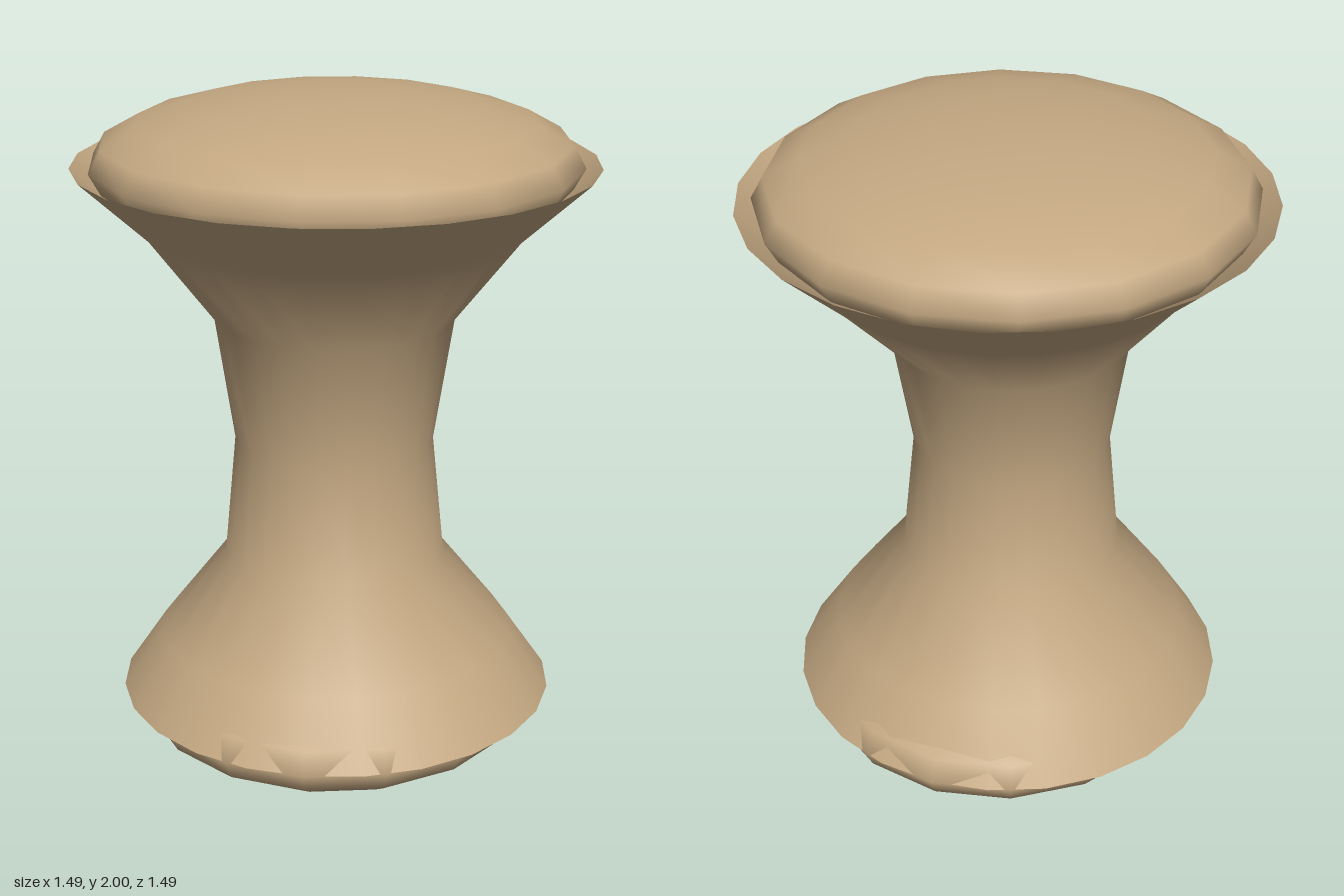
import * as THREE from 'three';

const material = new THREE.MeshStandardMaterial({ color: 0xc4a882, side: THREE.DoubleSide });

// Domed pad: a flattened sphere with 16 sides
function pad(name, rx, rz, y) {
  const mesh = new THREE.Mesh(new THREE.SphereGeometry(1, 16, 10), material);
  mesh.name = name;
  mesh.scale.set(rx, 0.2, rz);
  mesh.position.y = y;
  return mesh;
}

// Waisted stem, open at both ends; the narrow rings sit slightly forward
function waistedBody() {
  // height, radius, depth factor, forward shift
  const rings = [
    [0.2, 0.645, 1, 0],
    [0.38, 0.525, 1, 0.01],
    [0.64, 0.325, 1, 0.028],
    [1.0, 0.29, 1, 0.035],
    [1.36, 0.346, 1, 0.028],
    [1.62, 0.553, 1.02, 0],
    [1.797, 0.747, 1, 0],
  ];
  const geometry = new THREE.LatheGeometry(rings.map(([y, r]) => new THREE.Vector2(r, y)), 24);
  const pos = geometry.attributes.position;
  for (let i = 0; i < pos.count; i++) {
    const [, , depth, shift] = rings[i % rings.length];
    pos.setZ(i, pos.getZ(i) * depth + shift);
  }
  const mesh = new THREE.Mesh(geometry, material);
  mesh.name = 'waistedBody';
  return mesh;
}

export function createModel() {
  const group = new THREE.Group();
  group.name = 'stool';
  group.add(
    waistedBody(),
    pad('seatCushion', 0.7, 0.7, 1.8),
    pad('basePad', 0.6, 0.65, 0.2),
  );
  return group;
}
